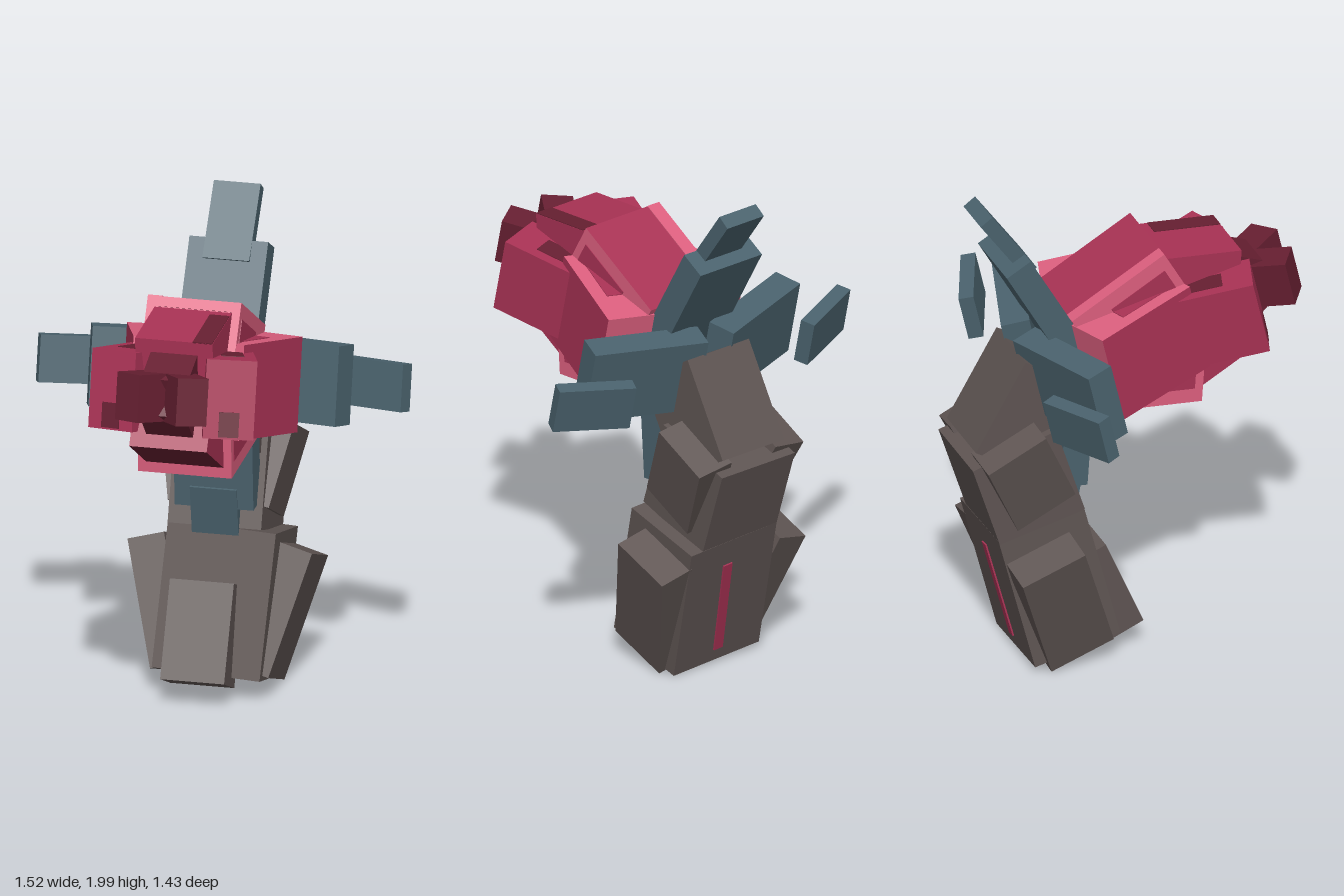
import * as THREE from 'three';

const mat = (name, color) => {
  const m = new THREE.MeshStandardMaterial({ color });
  m.name = name;
  return m;
};
const rad = THREE.MathUtils.degToRad;

export function createModel() {
  const slate = mat('slate sepal', 0x4a626d);
  const bark = mat('brown stem', 0x5e5452);
  const pink = mat('light pink', 0xdc5f7e);
  const crimson = mat('crimson', 0xa83254);
  const maroon = mat('maroon', 0x661f31);

  const model = new THREE.Group();
  model.name = 'flower';

  // Box with a size, a position and a rotation in degrees
  function box(parent, name, size, pos, rot, material) {
    const m = new THREE.Mesh(new THREE.BoxGeometry(...size), material);
    m.name = name;
    m.position.set(...pos);
    m.rotation.set(...rot.map(rad));
    parent.add(m);
    return m;
  }

  // Stem: three stacked blocks, each leaning differently
  box(model, 'upperStem', [0.32, 0.42, 0.32], [0, 1.09, -0.447], [30, 0, 0], bark);
  box(model, 'middleStem', [0.38, 0.39, 0.37], [-0.005, 0.8, -0.48], [-18, 0, 0], bark);
  const lower = box(model, 'lowerStem', [0.44, 0.59, 0.37], [0.01, 0.341, -0.354], [-14, 0, -3], bark);
  box(lower, 'backStripe', [0.045, 0.42, 0.009], [0.01, -0.03, -0.187], [0, 0, -2], crimson);

  // Flared plates on the sides and front of the stem
  for (const s of [1, -1]) {
    box(model, 'middleStemPlate', [0.16, 0.35, 0.27], [s * 0.16, 0.86, -0.49], [-26, 0, s * -11], bark);
    box(model, 'lowerStemPlate', [0.15, 0.52, 0.28], [s * 0.235, 0.3, -0.363], [-20, 0, s * -15], bark);
  }
  box(model, 'frontStemPlate', [0.26, 0.4, 0.18], [-0.03, 0.256, -0.145], [-23.5, 0, 0], bark);

  // Head, tipped upward; its axis runs along local z
  const head = new THREE.Group();
  head.name = 'head';
  head.position.set(0, 1.288, -0.3);
  head.rotation.x = rad(-13);
  model.add(head);

  const sides = [['top', 0], ['left', -90], ['bottom', 180], ['right', 90]];
  for (const [side, angle] of sides) {
    const arm = new THREE.Group();
    arm.name = side + 'Petals';
    arm.rotation.z = rad(angle);
    head.add(arm);
    const lateral = side === 'left' || side === 'right';
    const k = lateral ? -1 : 1; // side parts lean the opposite way

    // Sepal and its narrow tip
    box(arm, 'sepal', [0.32, 0.49, 0.115], [0, 0.283, lateral ? -0.04 : -0.024], [-17 * k, 0, 0], slate);
    box(arm, 'sepalTip', [0.19, 0.32, 0.06], [0, lateral ? 0.6 : 0.592, lateral ? -0.118 : -0.096],
      [-23 * k, 0, 0], slate);

    // Back petal: crimson outer face with pink edges
    const back = box(arm, 'backPetal', [0.38, 0.2, 0.45], [0, lateral ? 0.195 : 0.188, 0.3], [-17 * k, 0, 0],
      [pink, pink, crimson, crimson, pink, pink]);
    if (side === 'top') {
      box(back, 'edgeStripe', [0.06, 0.006, 0.45], [-0.16, 0.1, 0], [0, 0, 0], pink);
    }
    for (const s of [1, -1]) {
      box(back, 'sidePatch', [0.006, 0.1, 0.26], [s * 0.19, -0.01, 0.06], [0, 0, 0], crimson);
    }

    // Middle petal with maroon patches
    const middle = box(arm, 'middlePetal', [0.315, 0.2, 0.36], [0, lateral ? 0.187 : 0.172, lateral ? 0.625 : 0.6],
      [17 * k, 0, 0], [crimson, crimson, side === 'bottom' ? maroon : crimson, crimson, crimson, crimson]);
    if (side === 'top') {
      box(middle, 'edgePatch', [0.08, 0.006, 0.28], [0.116, 0.1, 0.04], [0, 0, 0], maroon);
      box(middle, 'rimPatch', [0.31, 0.006, 0.04], [0, 0.1, -0.158], [0, 0, 0], maroon);
    }
    if (lateral) {
      for (const s of [1, -1]) {
        box(middle, 'sidePatch', [0.006, 0.09, 0.16], [s * 0.157, 0.01, -0.02], [0, 0, 0], maroon);
      }
      box(middle, 'frontPatch', [0.1, 0.08, 0.006], [side === 'left' ? 0.1 : -0.1, 0, 0.18], [0, 0, 0], maroon);
    }

    // Small front petal
    box(arm, 'frontPetal', [0.19, 0.128, 0.3], lateral ? [0, 0.05, 0.86] : [0, 0.1, 0.765],
      [33 * k, 0, 0], maroon);
  }
  return model;
}
